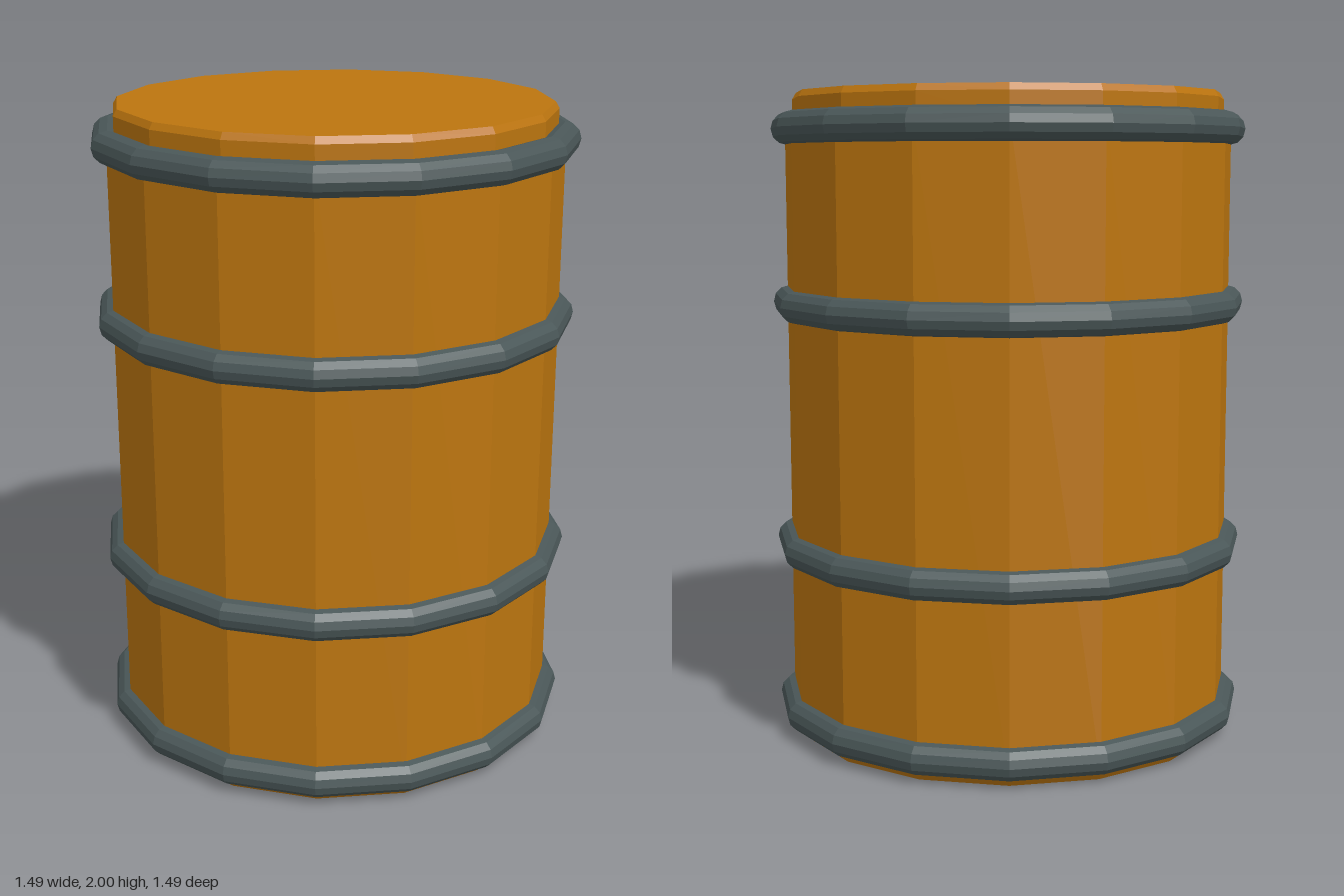
import * as THREE from 'three';

const SIDES = 16;

export function createModel() {
  const drum = new THREE.Group();
  drum.name = 'drum';

  const orange = new THREE.MeshStandardMaterial({ color: 0xbc750f, flatShading: true });
  orange.name = 'orange paint';
  const steel = new THREE.MeshStandardMaterial({ color: 0x4a5758, flatShading: true });
  steel.name = 'dark steel';

  // Closed faceted solid from a [radius, height] profile, bottom to top
  function turned(name, profile) {
    const points = profile.map(([r, y]) => new THREE.Vector2(r, y));
    const mesh = new THREE.Mesh(new THREE.LatheGeometry(points, SIDES), orange);
    mesh.name = name;
    drum.add(mesh);
  }

  // Body with a small bevel at the foot, stepping in to the raised lid
  turned('body', [[0, 0], [0.685, 0], [0.7, 0.02], [0.7, 1.91], [0.675, 1.92], [0, 1.92]]);
  turned('lid', [[0, 1.9], [0.676, 1.9], [0.676, 1.98], [0.664, 2], [0, 2]]);

  // Rolled hoops around the body
  const hoopGeometry = new THREE.TorusGeometry(0.695, 0.05, 12, SIDES).rotateX(Math.PI / 2);
  const hoops = { bottomHoop: 0.07, lowerHoop: 0.59, upperHoop: 1.35, topHoop: 1.89 };
  for (const [name, y] of Object.entries(hoops)) {
    const hoop = new THREE.Mesh(hoopGeometry, steel);
    hoop.name = name;
    hoop.position.y = y;
    drum.add(hoop);
  }

  return drum;
}
